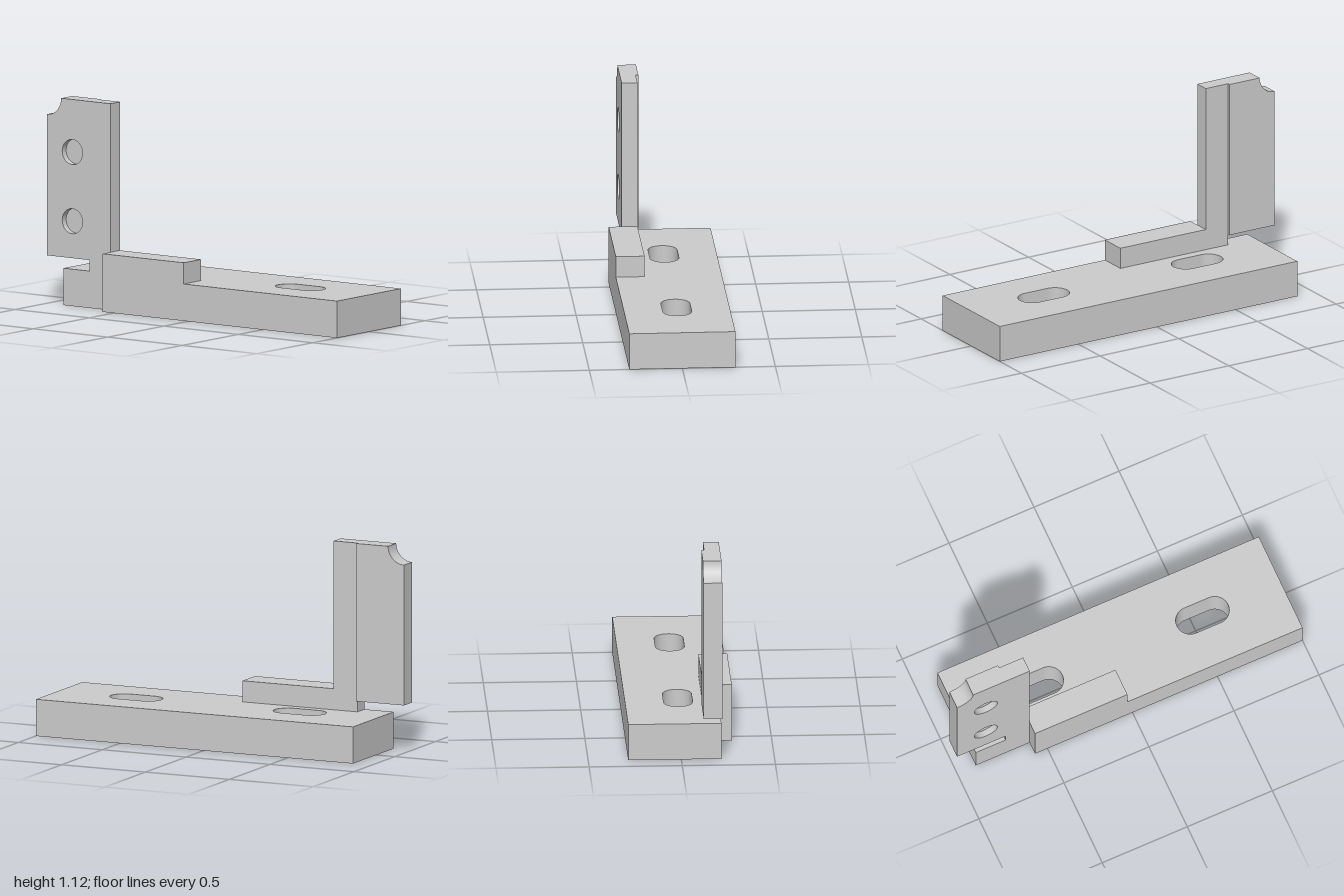
import * as THREE from 'three';

const material = new THREE.MeshStandardMaterial({ color: 0xcccccc });

const polygon = (pts) => new THREE.Shape(pts.map(([a, b]) => new THREE.Vector2(a, b)));

function extrude(shape, depth) {
  return new THREE.ExtrudeGeometry(shape, { depth, bevelEnabled: false, curveSegments: 24 });
}

function addMesh(group, name, geometry) {
  const mesh = new THREE.Mesh(geometry, material);
  mesh.name = name;
  group.add(mesh);
}

// Plan outline drawn as (x, -z), raised from y0 to y1
function plan(shape, y0, y1) {
  return extrude(shape, y1 - y0).rotateX(-Math.PI / 2).translate(0, y0, 0);
}

// Side outline drawn as (-z, y), spanning x0 to x1
function side(shape, x0, x1) {
  return extrude(shape, x1 - x0).rotateY(Math.PI / 2).translate(x0, 0, 0);
}

// Round-ended slot, long in z
function slot(z, halfLength, r) {
  const path = new THREE.Path();
  const straight = halfLength - r;
  path.absarc(0, -z + straight, r, 0, Math.PI, false);
  path.absarc(0, -z - straight, r, Math.PI, Math.PI * 2, false);
  path.closePath();
  return path;
}

// Side outline with a scooped upper rear corner
function uprightOutline(start) {
  const shape = new THREE.Shape();
  shape.moveTo(...start[0]);
  start.slice(1).forEach((p) => shape.lineTo(...p));
  shape.lineTo(1, 0.26);
  shape.lineTo(1, 1.025);
  shape.absarc(1, 1.12, 0.095, -Math.PI / 2, -Math.PI, true);
  shape.lineTo(start[0][0], 1.12);
  shape.closePath();
  return shape;
}

export function createModel() {
  const group = new THREE.Group();
  group.name = 'mountingBracket';

  // Base plate with a relieved rear corner and two through slots
  const base = polygon([
    [-0.285, -1], [0.285, -1], [0.285, 0.89], [-0.215, 0.89], [-0.215, 0.573], [-0.285, 0.573],
  ]);
  base.holes.push(slot(-0.435, 0.15, 0.078), slot(0.54, 0.15, 0.078));
  addMesh(group, 'basePlate', plan(base, 0, 0.2));

  // Low foot along the edge of the base
  const foot = polygon([[-0.285, 0.03], [-0.13, 0.03], [-0.13, 0.573], [-0.285, 0.573]]);
  addMesh(group, 'foot', plan(foot, 0.2, 0.315));

  // Upright: outer layer pierced to form blind holes, solid core behind it
  const corner = [[0.573, 0.2], [0.715, 0.2], [0.715, 0.26]];
  const outer = uprightOutline(corner);
  for (const y of [0.46, 0.835]) {
    const hole = new THREE.Path();
    hole.absarc(0.83, y, 0.068, 0, Math.PI * 2, true);
    outer.holes.push(hole);
  }
  addMesh(group, 'uprightOuterFace', side(outer, -0.215, -0.18));
  addMesh(group, 'uprightCore', side(uprightOutline(corner), -0.18, -0.13));

  // Raised pad on the inner face
  addMesh(group, 'uprightPad', side(uprightOutline([[0.715, 0.26]]), -0.13, -0.115));

  return group;
}
